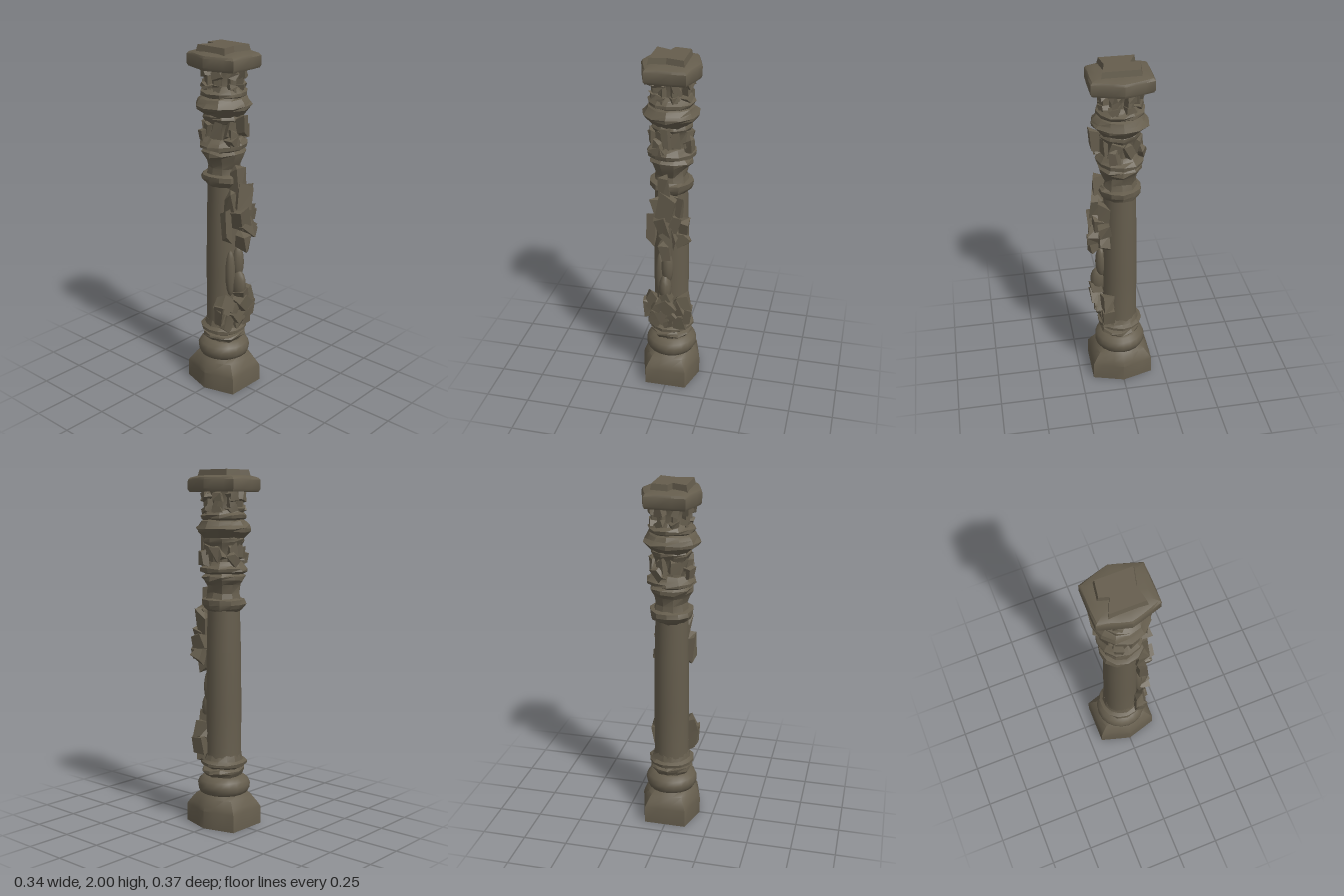
import * as THREE from 'three';
import { toCreasedNormals } from 'three/addons/utils/BufferGeometryUtils.js';

const stone = new THREE.MeshStandardMaterial({ color: 0x655d4d });
stone.name = 'weathered stone';

// Small seeded noise in -1..1
let seed = 7;
const noise = () => {
  seed = (seed * 16807) % 2147483647;
  return (seed / 2147483647) * 2 - 1;
};

// Closed polygon sections, listed from +x towards +z
const circle = (n) => Array.from({ length: n }, (_, i) => {
  const a = (i / n) * Math.PI * 2;
  return [Math.cos(a), Math.sin(a)];
});
const hexCorners = [[0.172, 0], [0.12, 0.178], [-0.12, 0.178], [-0.172, 0], [-0.12, -0.178], [0.12, -0.178]];
const hexagon = hexCorners.flatMap((p, i) => {
  const q = hexCorners[(i + 1) % 6];
  return [0, 1 / 3, 2 / 3].map((t) => [p[0] + (q[0] - p[0]) * t, p[1] + (q[1] - p[1]) * t]);
});

// Skin a stack of rings of points, capped at both ends
function skin(rings, crease) {
  const n = rings[0].length, pos = [], index = [];
  rings.forEach((r) => r.forEach((p) => pos.push(...p)));
  for (let k = 0; k < rings.length - 1; k++) {
    for (let i = 0; i < n; i++) {
      const a = k * n + i, b = k * n + (i + 1) % n;
      index.push(a, a + n, b, b, a + n, b + n);
    }
  }
  [rings[0], rings[rings.length - 1]].forEach((r, end) => {
    const c = pos.length / 3, base = end ? (rings.length - 1) * n : 0;
    pos.push(...[0, 1, 2].map((j) => r.reduce((s, p) => s + p[j], 0) / n));
    for (let i = 0; i < n; i++) {
      const a = base + i, b = base + (i + 1) % n;
      index.push(c, end ? b : a, end ? a : b);
    }
  });
  const g = new THREE.BufferGeometry();
  g.setAttribute('position', new THREE.Float32BufferAttribute(pos, 3));
  g.setIndex(index);
  return toCreasedNormals(g, crease);
}

// Round moulding: profile of [y, radius], with chipped edges
const turned = (profile, sides, chip, crease) => skin(profile.map(([y, r]) =>
  circle(sides).map(([x, z]) => {
    const q = r * (1 + noise() * chip);
    return [x * q, y + noise() * chip * 0.1, z * q];
  })), crease);

// Six-sided block: profile of [y, scale, roundness, round radius]
const block = (profile) => skin(profile.map(([y, s, round, r]) =>
  hexagon.map(([x, z]) => {
    const l = Math.hypot(x, z);
    return [x * s * (1 - round) + (x / l) * r * round, y, z * s * (1 - round) + (z / l) * r * round];
  })), 0.6);

export function createModel() {
  const model = new THREE.Group();
  const add = (name, geometry, parent = model) => {
    const m = new THREE.Mesh(geometry, stone);
    m.name = name;
    parent.add(m);
    return m;
  };
  const group = (name) => {
    const g = new THREE.Group();
    g.name = name;
    model.add(g);
    return g;
  };

  // Broken chunk of carving: a box with its corners knocked about
  function chunk(parent, x, y, z, w, h, d, tilt = 0, turn = 0, rough = 0.22) {
    const g = new THREE.BoxGeometry(w, h, d), p = g.attributes.position, moved = {};
    for (let i = 0; i < p.count; i++) {
      const key = [p.getX(i), p.getY(i), p.getZ(i)].map(Math.sign).join();
      moved[key] ??= [noise() * w * rough, noise() * h * rough, noise() * d * rough];
      const o = moved[key];
      p.setXYZ(i, p.getX(i) + o[0], p.getY(i) + o[1], p.getZ(i) + o[2]);
    }
    const m = add('carvedChunk', toCreasedNormals(g, 0.2), parent);
    m.position.set(x, y, z);
    m.rotation.set(0, turn, tilt);
  }

  // Base
  add('plinth', block([[0, 1, 0, 0], [0.1, 1, 0.05, 0.17], [0.125, 0.96, 0.25, 0.16], [0.165, 0.86, 0.6, 0.145], [0.185, 0.8, 1, 0.125]]));
  add('baseRoll', turned([[0.175, 0.11], [0.188, 0.135], [0.21, 0.147], [0.235, 0.149], [0.26, 0.138], [0.278, 0.115], [0.285, 0.1]], 20, 0.012, 0.9));
  add('baseNeck', turned([[0.275, 0.095], [0.29, 0.105], [0.31, 0.122], [0.325, 0.115], [0.335, 0.09], [0.35, 0.1]], 12, 0.07, 0.3));
  add('baseCollar', turned([[0.335, 0.105], [0.348, 0.128], [0.365, 0.13], [0.378, 0.112], [0.41, 0.1]], 14, 0.035, 0.4));

  // Shaft
  add('shaft', turned([[0.37, 0.105], [0.43, 0.099], [0.7, 0.1], [1.0, 0.097], [1.27, 0.09]], 20, 0.008, 0.9));
  add('shaftRing', turned([[1.225, 0.09], [1.24, 0.108], [1.265, 0.124], [1.29, 0.122], [1.3, 0.1]], 12, 0.05, 0.4));

  // Lower capital
  add('capitalNeck', turned([[1.28, 0.1], [1.33, 0.09], [1.37, 0.098], [1.4, 0.116], [1.42, 0.122], [1.435, 0.1], [1.45, 0.09]], 10, 0.06, 0.4));
  add('capitalRing', turned([[1.432, 0.1], [1.445, 0.132], [1.465, 0.135], [1.48, 0.115], [1.5, 0.1]], 12, 0.05, 0.35));
  add('capitalBell', turned([[1.47, 0.094], [1.53, 0.088], [1.58, 0.096], [1.61, 0.113], [1.625, 0.112], [1.64, 0.1]], 10, 0.05, 0.4));
  add('flaredMoulding', turned([[1.61, 0.095], [1.635, 0.115], [1.665, 0.148], [1.682, 0.158], [1.7, 0.14], [1.72, 0.125], [1.735, 0.1]], 12, 0.045, 0.35));

  // Upper capital
  add('upperRing', turned([[1.72, 0.1], [1.735, 0.127], [1.755, 0.13], [1.77, 0.108], [1.785, 0.09]], 12, 0.05, 0.35));
  add('upperBell', turned([[1.76, 0.085], [1.82, 0.078], [1.86, 0.086], [1.9, 0.1]], 10, 0.05, 0.4));
  add('abacus', block([[1.88, 0.91, 0.1, 0.155], [1.895, 0.95, 0.05, 0.16], [1.945, 0.95, 0.08, 0.16], [1.957, 0.91, 0.2, 0.155], [1.968, 0.7, 0.2, 0.13]]));

  // Broken stub on top
  const stub = [[0.09, -0.1], [0.09, 0.108], [-0.01, 0.083], [-0.105, 0.1], [-0.105, -0.1], [-0.02, -0.062], [-0.005, -0.115]];
  add('brokenTop', skin([[1.955, 1.04], [2, 0.95]].map(([y, s]) => stub.map(([x, z]) => [x * s, y, z * s])), 0.2));

  // Leaf carving around both capitals
  const upperLeaves = group('upperLeaves');
  const lowerLeaves = group('lowerLeaves');
  for (let i = 0; i < 8; i++) {
    const a = ((i + 0.5) / 8) * Math.PI * 2, c = Math.cos(a), s = Math.sin(a), turn = Math.PI / 2 - a;
    chunk(upperLeaves, c * 0.092, 1.82, s * 0.092, 0.03, 0.11, 0.035, 0.15 * noise(), turn);
    chunk(upperLeaves, c * 0.108, 1.855, s * 0.108, 0.045, 0.045, 0.035, 0.6 * noise(), turn);
    chunk(upperLeaves, c * 0.1, 1.785, s * 0.1, 0.05, 0.03, 0.04, 0.5 * noise(), turn);
    if (i % 2 === 0) chunk(lowerLeaves, c * 0.118, 1.515, s * 0.118, 0.05, 0.07, 0.04, 0.6 * noise(), turn);
    chunk(lowerLeaves, c * 0.1, 1.55, s * 0.1, 0.05, 0.08, 0.03, 0.4 * noise(), turn);
  }
  chunk(lowerLeaves, 0, 1.58, 0.13, 0.05, 0.1, 0.075, 0.05);
  chunk(lowerLeaves, -0.05, 1.5, 0.115, 0.06, 0.05, 0.05, 0.4);

  // Broken figure carved on the front of the shaft
  const figure = group('frontFigure');
  [
    [-0.015, 1.27, 0.115, 0.06, 0.13, 0.06, 0.1], [0.0, 1.18, 0.125, 0.085, 0.13, 0.075, -0.1],
    [-0.05, 1.14, 0.1, 0.06, 0.12, 0.06, 0.2], [0.05, 1.14, 0.1, 0.05, 0.14, 0.05, -0.1],
    [-0.09, 1.03, 0.095, 0.045, 0.16, 0.06, 0.05], [0.09, 1.05, 0.095, 0.05, 0.1, 0.07, -0.2],
    [0.085, 0.98, 0.105, 0.07, 0.08, 0.06, 0.5], [-0.02, 1.06, 0.135, 0.08, 0.11, 0.075, 0.3],
    [0.025, 1.0, 0.145, 0.07, 0.09, 0.07, 0.7], [0.0, 0.925, 0.14, 0.05, 0.1, 0.06, 0.1],
    [0.05, 1.08, 0.13, 0.05, 0.08, 0.05, -0.4],
  ].forEach((c) => chunk(figure, ...c));

  // Worn vine stem running down the front
  const vine = group('vineStem');
  [[0, 0.78, 0.108, 0.035, 0.1, 0.033], [-0.01, 0.65, 0.122, 0.036, 0.088, 0.048], [-0.045, 0.72, 0.09, 0.03, 0.14, 0.028]].forEach(([x, y, z, rx, ry, rz]) => {
    const m = add('wornStem', new THREE.SphereGeometry(1, 10, 8), vine);
    m.scale.set(rx, ry, rz);
    m.position.set(x, y, z);
  });
  chunk(vine, -0.005, 0.6, 0.14, 0.06, 0.06, 0.06, 0.3);

  // Leaf cluster at the foot of the shaft
  const foot = group('footLeaves');
  for (const side of [-1, 1]) {
    chunk(foot, side * 0.1, 0.55, 0.085, 0.05, 0.09, 0.06, side * 0.4);
    chunk(foot, side * 0.11, 0.47, 0.08, 0.05, 0.11, 0.06, side * -0.15);
    chunk(foot, side * 0.055, 0.52, 0.115, 0.06, 0.08, 0.05, side * 0.6);
    chunk(foot, side * 0.07, 0.42, 0.09, 0.07, 0.09, 0.05, side * 0.3);
    chunk(foot, side * 0.03, 0.46, 0.115, 0.06, 0.07, 0.05, side * -0.7);
  }
  chunk(foot, 0, 0.545, 0.135, 0.07, 0.08, 0.06, 0.5);
  chunk(foot, 0, 0.41, 0.09, 0.06, 0.08, 0.05, 0.2);

  return model;
}
